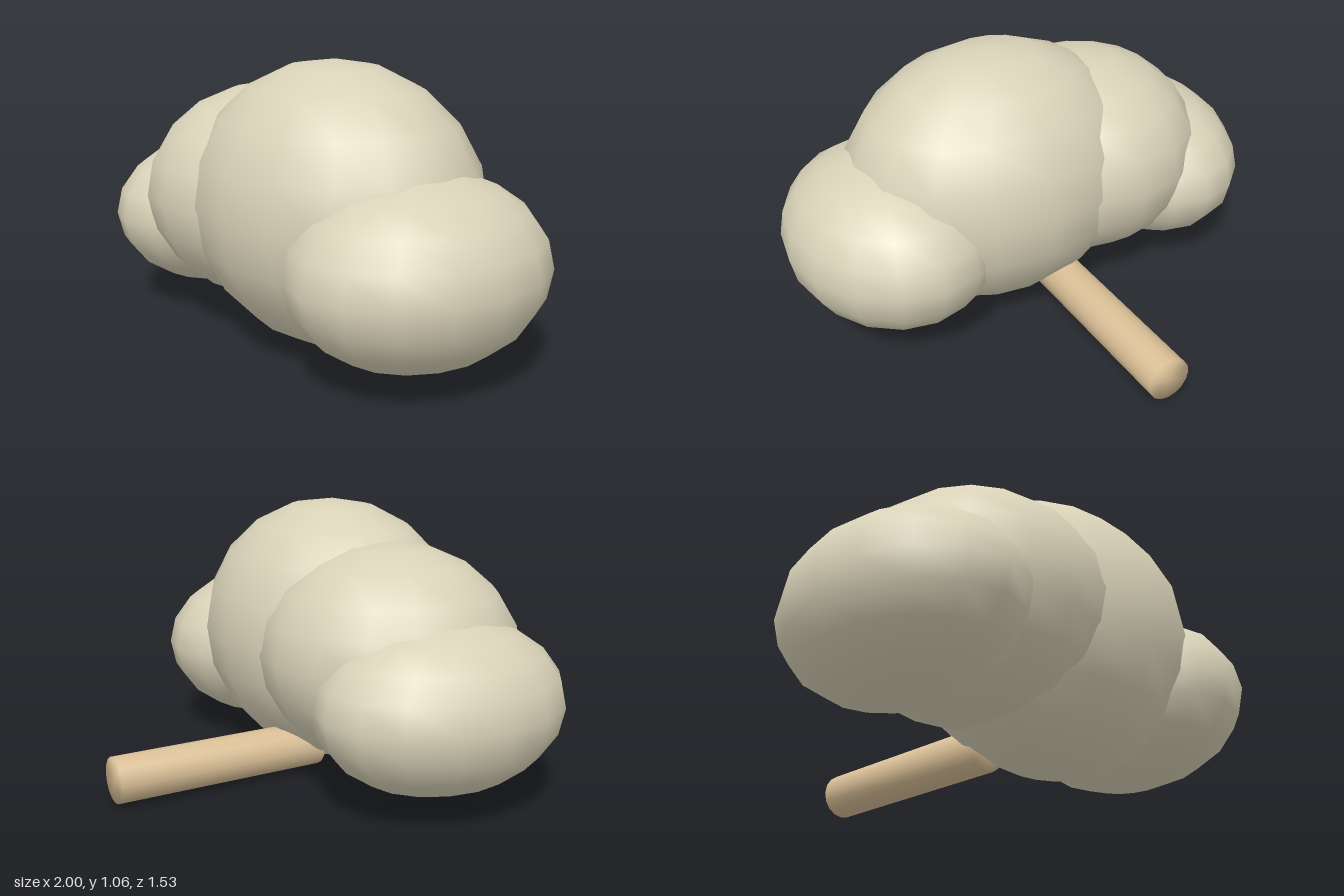
import * as THREE from 'three';
import { mergeVertices } from 'three/addons/utils/BufferGeometryUtils.js';

const paleStone = new THREE.MeshStandardMaterial({ color: 0xd9d2b8 });
const lightWood = new THREE.MeshStandardMaterial({ color: 0xd9bf96 });

const DEPTH_CENTRE = 0.268;
const DEPTH_RADIUS = 0.496;

// name, centre x, centre y, radius x, radius y
const LOBES = [
  ['mainLobe', 0.12, 0.532, 0.625, 0.532],
  ['middleLobe', -0.29, 0.514, 0.51, 0.424],
  ['rightEndLobe', -0.62, 0.39, 0.38, 0.322],
  ['leftEndLobe', 0.586, 0.39, 0.414, 0.338],
];

export function createModel() {
  const model = new THREE.Group();
  model.name = 'lobedPuffOnPeg';

  // Overlapping stretched spheres, all the same depth
  for (const [name, x, y, rx, ry] of LOBES) {
    const geometry = new THREE.SphereGeometry(1, 16, 10);
    geometry.scale(rx, ry, DEPTH_RADIUS);
    const lobe = new THREE.Mesh(geometry, paleStone);
    lobe.name = name;
    lobe.position.set(x, y, DEPTH_CENTRE);
    model.add(lobe);
  }

  // Round peg running backwards from under the main lobe, shaded smoothly over its ends
  const front = 0.09, back = -0.764;
  let pegGeometry = new THREE.CylinderGeometry(0.088, 0.088, front - back, 16);
  pegGeometry.deleteAttribute('normal');
  pegGeometry.deleteAttribute('uv');
  pegGeometry = mergeVertices(pegGeometry);
  pegGeometry.computeVertexNormals();
  pegGeometry.rotateX(Math.PI / 2);
  const peg = new THREE.Mesh(pegGeometry, lightWood);
  peg.name = 'peg';
  peg.position.set(-0.037, 0.1, (front + back) / 2);
  model.add(peg);

  return model;
}
